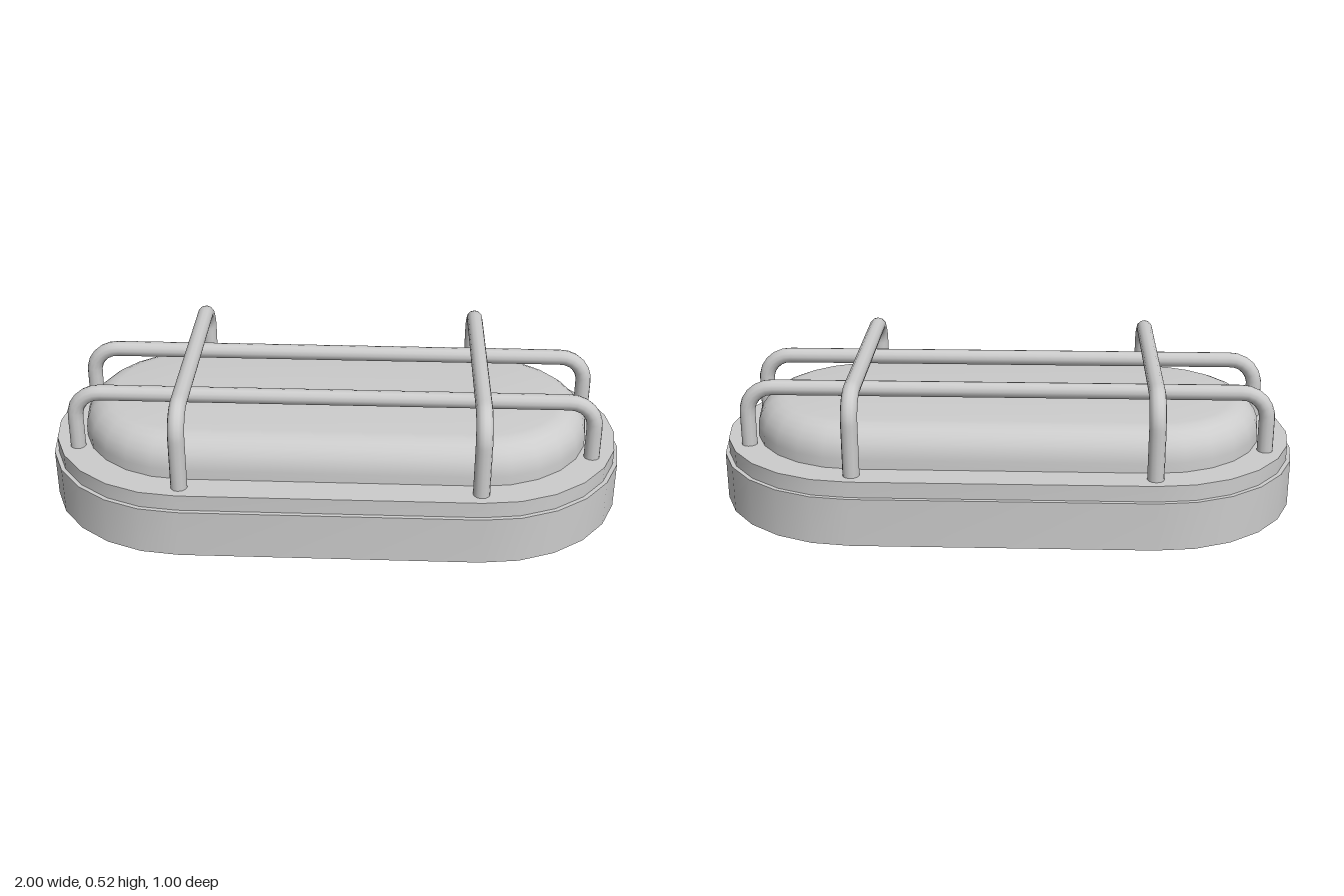
import * as THREE from 'three';
import { toCreasedNormals } from 'three/addons/utils/BufferGeometryUtils.js';

const HALF_STRAIGHT = 0.5; // half length of the straight sides
const ARC_SEGMENTS = 12; // per rounded end
const PLATE_Y = 0.222;
const LENS_BOTTOM = 0.195; // the lens passes through the plate

const material = new THREE.MeshStandardMaterial({ color: 0xcccccc });
const shellMaterial = new THREE.MeshStandardMaterial({ color: 0xcccccc, side: THREE.DoubleSide });

// Stadium-shaped loops stacked from a profile of [radius, height] pairs.
function stadiumLoft(profile, creaseAngle) {
  const positions = [], index = [];
  const count = 2 * (ARC_SEGMENTS + 1);
  for (const [r, y] of profile) {
    for (const end of [0, 1]) {
      for (let i = 0; i <= ARC_SEGMENTS; i++) {
        const a = -Math.PI / 2 + Math.PI * (end + i / ARC_SEGMENTS);
        const cx = end ? -HALF_STRAIGHT : HALF_STRAIGHT;
        positions.push(cx + r * Math.cos(a), y, -r * Math.sin(a));
      }
    }
  }
  for (let j = 0; j < profile.length - 1; j++) {
    for (let i = 0; i < count; i++) {
      const a = j * count + i, b = j * count + (i + 1) % count;
      index.push(a, b, b + count, a, b + count, a + count);
    }
  }
  const geometry = new THREE.BufferGeometry();
  geometry.setAttribute('position', new THREE.Float32BufferAttribute(positions, 3));
  geometry.setIndex(index);
  return toCreasedNormals(geometry, creaseAngle);
}

// Staple-shaped guard bar in the xy plane, standing on the plate.
function guardBar(halfSpan, top, bend, radius) {
  const k = bend * 0.4477;
  const v = (x, y) => new THREE.Vector3(x, y, 0);
  const path = new THREE.CurvePath();
  path.add(new THREE.LineCurve3(v(-halfSpan, PLATE_Y), v(-halfSpan, top - bend)));
  path.add(new THREE.CubicBezierCurve3(v(-halfSpan, top - bend), v(-halfSpan, top - k),
    v(-halfSpan + k, top), v(-halfSpan + bend, top)));
  path.add(new THREE.LineCurve3(v(-halfSpan + bend, top), v(halfSpan - bend, top)));
  path.add(new THREE.CubicBezierCurve3(v(halfSpan - bend, top), v(halfSpan - k, top),
    v(halfSpan, top - k), v(halfSpan, top - bend)));
  path.add(new THREE.LineCurve3(v(halfSpan, top - bend), v(halfSpan, PLATE_Y)));
  return new THREE.TubeGeometry(path, 80, radius, 12, false);
}

export function createModel() {
  const group = new THREE.Group();
  const add = (name, geometry, mat = material) => {
    const mesh = new THREE.Mesh(geometry, mat);
    mesh.name = name;
    group.add(mesh);
    return mesh;
  };

  // Hollow housing: outer wall, small step, rim and a plate open around the lens
  add('housing', stadiumLoft(
    [[0.5, 0], [0.5, 0.167], [0.485, 0.167], [0.485, PLATE_Y], [0.375, PLATE_Y]], 0.6), shellMaterial);

  // Closed lens with a flat underside and a rounded shoulder
  const lens = [[0, LENS_BOTTOM], [0.38, LENS_BOTTOM]];
  for (let i = 0; i <= 6; i++) {
    const a = (i / 6) * Math.PI / 2;
    lens.push([0.28 + 0.1 * Math.cos(a), 0.255 + 0.105 * Math.sin(a)]);
  }
  lens.push([0, 0.36]);
  add('lensCover', stadiumLoft(lens, 0.6));

  // Guard cage: two long bars below two cross bars
  const longBar = guardBar(0.885, 0.43, 0.09, 0.027);
  const crossBar = guardBar(0.429, 0.49, 0.09, 0.028);
  for (const side of [1, -1]) {
    add(side > 0 ? 'frontLongBar' : 'backLongBar', longBar).position.z = side * 0.17;
    const bar = add(side > 0 ? 'leftCrossBar' : 'rightCrossBar', crossBar);
    bar.position.x = side * 0.497;
    bar.rotation.y = Math.PI / 2;
  }
  return group;
}
